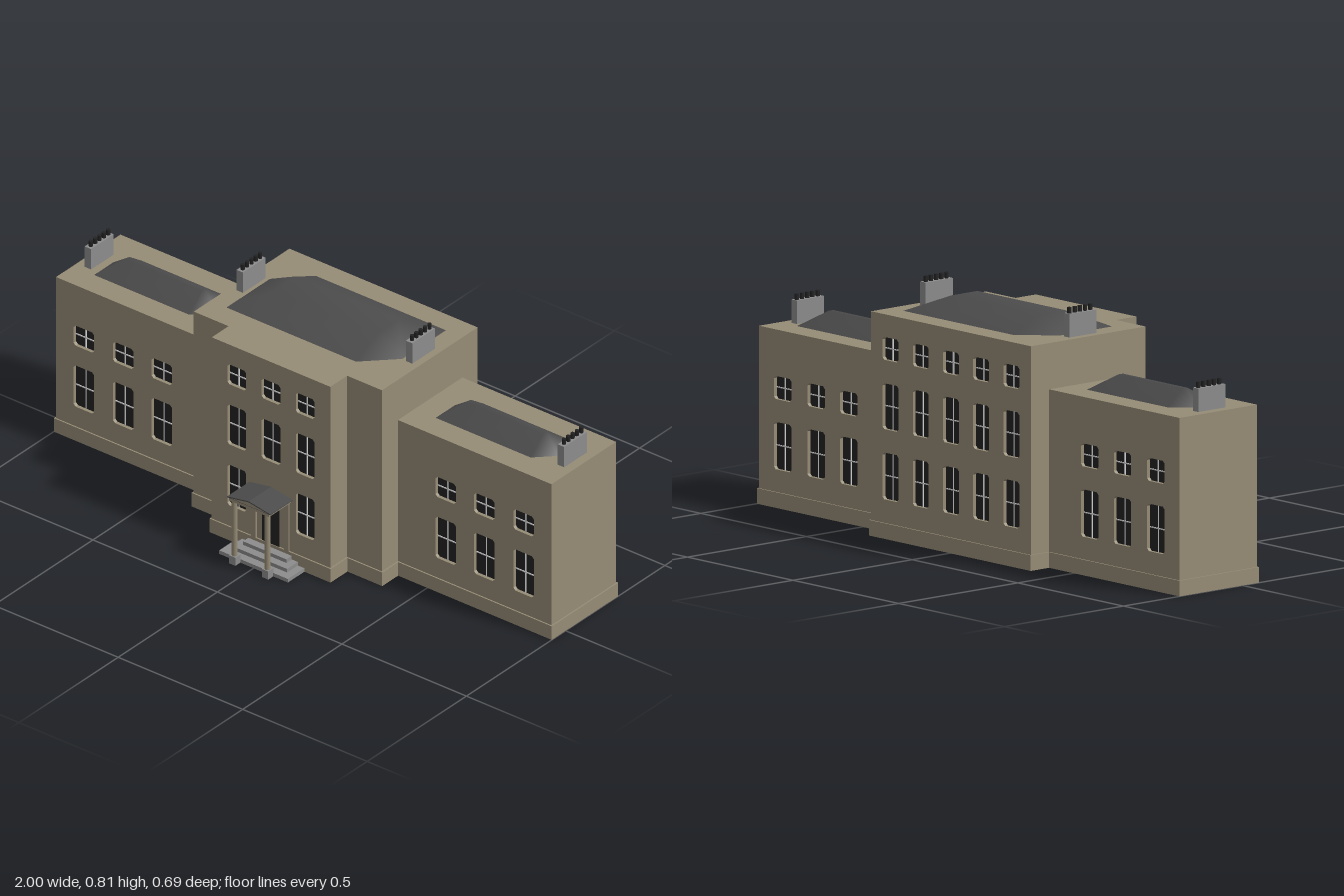
import * as THREE from 'three';

const mat = (name, color, side = THREE.FrontSide) => {
  const m = new THREE.MeshStandardMaterial({ color, side });
  m.name = name;
  return m;
};
const stone = mat('sandstone', 0x968c76);
const slate = mat('slate', 0x4c4c4c, THREE.DoubleSide);
const grey = mat('grey stone', 0x8c8c8c);
const dark = mat('dark glass', 0x222222);
const white = mat('white glazing bar', 0xd0d0d0);

const T = 0.015; // wall thickness

function add(parent, name, geometry, material, x = 0, y = 0, z = 0) {
  const m = new THREE.Mesh(geometry, material);
  m.name = name;
  m.position.set(x, y, z);
  parent.add(m);
  return m;
}

// box given by its minimum and maximum corners
function box(parent, name, material, x0, x1, y0, y1, z0, z1) {
  return add(parent, name, new THREE.BoxGeometry(x1 - x0, y1 - y0, z1 - z0), material,
    (x0 + x1) / 2, (y0 + y1) / 2, (z0 + z1) / 2);
}

// closed outline with small chamfered corners
function opening(x, y0, w, h) {
  const a = x - w / 2, b = x + w / 2, y1 = y0 + h, c = 0.008;
  return new THREE.Path([
    [a + c, y0], [b - c, y0], [b, y0 + c], [b, y1 - c],
    [b - c, y1], [a + c, y1], [a, y1 - c], [a, y0 + c], [a + c, y0],
  ].map(p => new THREE.Vector2(...p)));
}

// wall facing local +z with recessed windows [x, y, width, height] and a plinth
function wall(parent, name, w, h, x, z, turn, windows = []) {
  const g = new THREE.Group();
  g.name = name;
  g.position.set(x, 0, z);
  g.rotation.y = turn;
  parent.add(g);
  const s = new THREE.Shape([[-w / 2, 0], [w / 2, 0], [w / 2, h], [-w / 2, h]]
    .map(p => new THREE.Vector2(...p)));
  for (const win of windows) s.holes.push(opening(...win));
  add(g, 'wallPanel', new THREE.ExtrudeGeometry(s, { depth: T, bevelEnabled: false }), stone, 0, 0, -T);
  box(g, 'plinth', stone, -w / 2 - 0.005, w / 2 + 0.005, 0, 0.05, -0.004, 0.005);
  for (const [wx, wy, ww, wh] of windows) {
    box(g, 'windowPane', dark, wx - ww / 2, wx + ww / 2, wy, wy + wh, -T, -T + 0.003);
    const t = wh < 0.1 ? 0.0022 : 0.0012, cy = wy + wh / 2;
    box(g, 'verticalBar', white, wx - t, wx + t, wy, wy + wh, -T + 0.002, -T + 0.006);
    box(g, 'horizontalBar', white, wx - ww / 2, wx + ww / 2, cy - 0.0018, cy + 0.0018, -T + 0.002, -T + 0.006);
  }
}

// low hipped roof with two opposite corners cut and smooth shading
function hippedRoof(parent, name, x0, x1, z0, z1, y, h, inset, cut) {
  const a = x0 + inset, b = x1 - inset, c = z0 + inset, d = z1 - inset;
  const pts = [
    x0 + cut, y, z0, x1, y, z0, x1, y, z1 - cut, x1 - cut, y, z1, x0, y, z1, x0, y, z0 + cut,
    a, y + h, c, b, y + h, c, b, y + h, d, a, y + h, d,
  ];
  const g = new THREE.BufferGeometry();
  g.setAttribute('position', new THREE.Float32BufferAttribute(pts, 3));
  g.setIndex([
    0, 6, 1, 1, 6, 7, 1, 7, 2, 2, 7, 8, 2, 8, 3, 3, 8, 4, 4, 8, 9,
    4, 9, 5, 5, 9, 6, 5, 6, 0, 6, 9, 8, 6, 8, 7,
  ]);
  g.computeVertexNormals();
  add(parent, name, g, slate);
}

function chimney(parent, x, y) {
  const g = new THREE.Group();
  g.name = 'chimney';
  parent.add(g);
  box(g, 'chimneyStack', grey, x - 0.013, x + 0.013, y - 0.005, y + 0.075, -0.153, -0.039);
  for (let i = 0; i < 5; i++) {
    add(g, 'chimneyPot', new THREE.CylinderGeometry(0.007, 0.007, 0.02, 10), dark,
      x, y + 0.084, -0.054 - i * 0.0219);
  }
}

function portico(parent) {
  const g = new THREE.Group();
  g.name = 'portico';
  parent.add(g);
  // steps
  box(g, 'lowerStep', grey, -0.138, 0.138, 0, 0.013, 0.225, 0.318);
  box(g, 'middleStep', grey, -0.112, 0.112, 0.013, 0.026, 0.225, 0.289);
  box(g, 'upperStep', grey, -0.087, 0.087, 0.026, 0.039, 0.225, 0.262);
  // columns
  for (const s of [-1, 1]) {
    const x = s * 0.066;
    box(g, 'columnBase', grey, x - 0.013, x + 0.013, 0, 0.03, 0.317, 0.343);
    add(g, 'column', new THREE.CylinderGeometry(0.0095, 0.0095, 0.202, 16), stone, x, 0.13, 0.33);
    box(g, 'doorJamb', stone, x - 0.009, x + 0.009, 0.05, 0.23, 0.228, 0.236);
  }
  // canopy
  box(g, 'canopyBeam', stone, -0.08, 0.08, 0.23, 0.241, 0.225, 0.341);
  const s = new THREE.Shape([[-0.087, 0.24], [0.087, 0.24], [0.087, 0.243], [0, 0.258], [-0.087, 0.243]]
    .map(p => new THREE.Vector2(...p)));
  add(g, 'canopyRoof', new THREE.ExtrudeGeometry(s, { depth: 0.117, bevelEnabled: false }), slate, 0, 0, 0.225);
  const front = new THREE.Shape([[-0.076, 0.2415], [0.076, 0.2415], [0, 0.2545]]
    .map(p => new THREE.Vector2(...p)));
  add(g, 'pediment', new THREE.ShapeGeometry(front), stone, 0, 0, 0.3425);
  // door
  box(g, 'door', dark, -0.035, 0.035, 0.05, 0.2, 0.228, 0.2325);
}

export function createModel() {
  const model = new THREE.Group();
  model.name = 'countryHouse';
  const H = 0.718, h = 0.57, P = Math.PI;

  // central block
  const centre = new THREE.Group();
  centre.name = 'centralBlock';
  model.add(centre);
  const rows = [[0.125, 0.15], [0.35, 0.147], [0.572, 0.073]];
  const frontWindows = [], backWindows = [];
  for (const [y, wh] of rows) {
    for (const x of [-0.137, 0, 0.137]) {
      if (x !== 0 || y > 0.2) frontWindows.push([x, y, 0.075, wh]);
    }
    for (let i = -2; i <= 2; i++) backWindows.push([i * 0.143, y, 0.075, wh]);
  }
  wall(centre, 'frontWall', 0.476, H, 0, 0.23, 0, frontWindows);
  wall(centre, 'backWall', 0.756, H, 0, -0.337, P, backWindows);
  for (const s of [-1, 1]) {
    wall(centre, 'bayReturn', 0.1, H, s * 0.238, 0.18, s * P / 2);
    wall(centre, 'shoulderWall', 0.148, H, s * 0.304, 0.145, 0);
    wall(centre, 'sideWall', 0.482, H, s * 0.378, -0.096, s * P / 2);
    chimney(centre, s * 0.34, H);
  }
  box(centre, 'flatRoof', stone, -0.378, 0.378, H - 0.01, H, -0.337, 0.145);
  box(centre, 'bayRoof', stone, -0.238, 0.238, H - 0.01, H, 0.14, 0.23);
  hippedRoof(centre, 'hippedRoof', -0.312, 0.312, -0.26, 0.063, H + 0.001, 0.051, 0.106, 0.104);

  // side wings
  for (const s of [-1, 1]) {
    const wing = new THREE.Group();
    wing.name = s > 0 ? 'leftWing' : 'rightWing';
    model.add(wing);
    const cx = 0.685, wins = [];
    for (const x of [0.57, 0.725, 0.883]) {
      wins.push([s * (x - cx), 0.122, 0.082, 0.152], [s * (x - cx), 0.347, 0.082, 0.074]);
    }
    const mirrored = wins.map(([x, ...r]) => [-x, ...r]);
    wall(wing, 'wingFront', 0.62, h, s * cx, 0.065, 0, wins);
    wall(wing, 'wingBack', 0.62, h, s * cx, -0.26, P, mirrored);
    wall(wing, 'wingEnd', 0.325, h, s * 0.995, -0.0975, s * P / 2);
    const a = s > 0 ? 0.375 : -0.995;
    box(wing, 'wingFlatRoof', stone, a, a + 0.62, h - 0.01, h, -0.26, 0.065);
    const r = s > 0 ? 0.464 : -0.908;
    hippedRoof(wing, 'wingHippedRoof', r, r + 0.444, -0.178, -0.018, h + 0.001, 0.05, 0.07, 0.063);
    chimney(wing, s * 0.95, h);
  }

  portico(model);
  return model;
}
